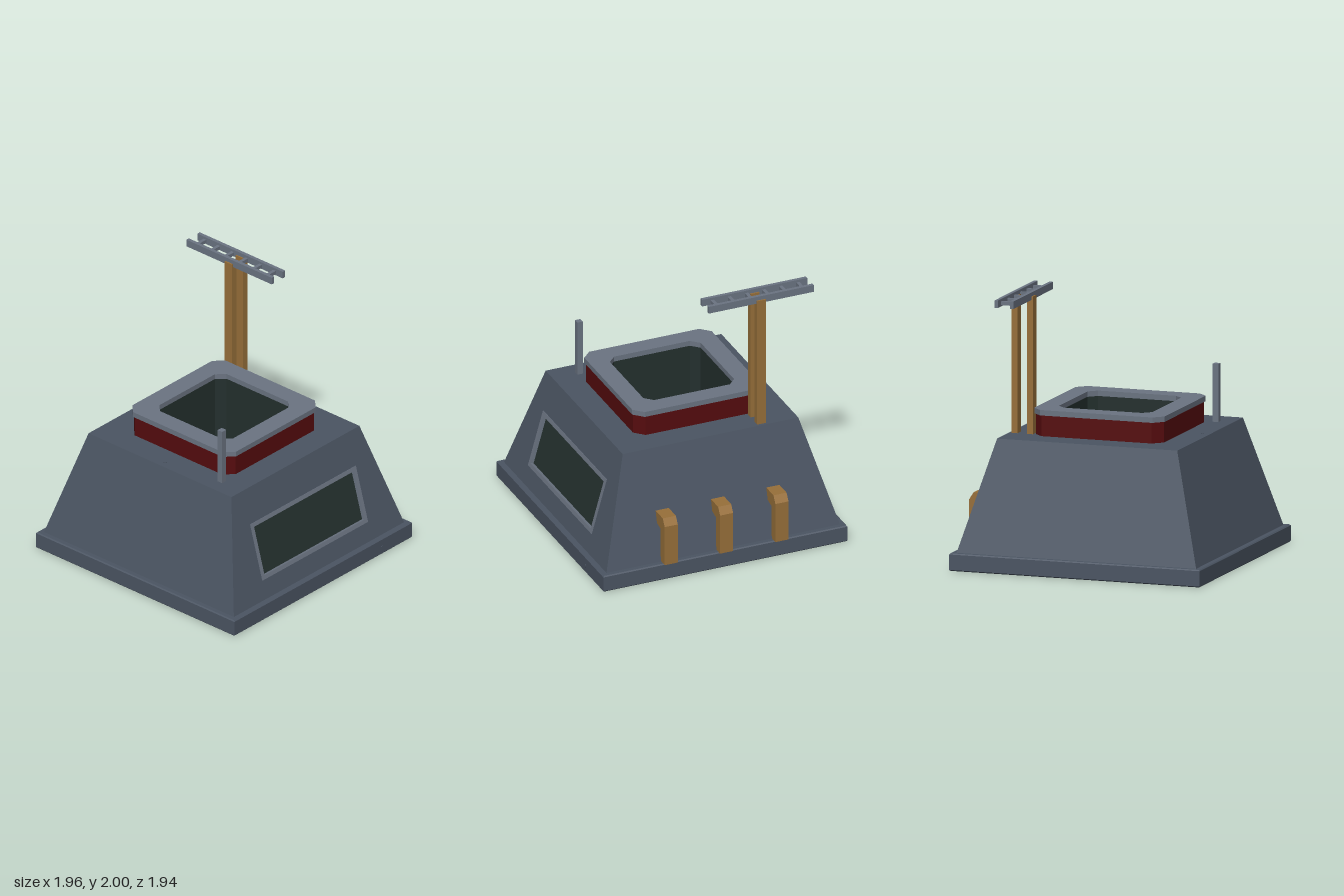
import * as THREE from 'three';

const paint = (name, color, side = THREE.FrontSide) => {
  const m = new THREE.MeshStandardMaterial({ color, side });
  m.name = name;
  return m;
};

// Closed path of a rectangle with optional chamfered corners
function octagon(hx, hy, c, PathClass = THREE.Shape) {
  const pts = [
    [hx - c, -hy], [hx, -hy + c], [hx, hy - c], [hx - c, hy],
    [-hx + c, hy], [-hx, hy - c], [-hx, -hy + c], [-hx + c, -hy],
  ].map(([x, y]) => new THREE.Vector2(x, y));
  return new PathClass(c > 0 ? pts : pts.filter((p, i) => i % 2 === 0));
}

function withHole(shape, hole) {
  shape.holes.push(hole);
  return shape;
}

// Horizontal slab of a shape between two heights
function slab(shape, y0, y1, bevel = 0) {
  const g = new THREE.ExtrudeGeometry(shape, {
    depth: y1 - y0 - 2 * bevel, bevelEnabled: bevel > 0,
    bevelSize: bevel, bevelThickness: bevel, bevelOffset: -bevel, bevelSegments: 1,
  });
  return g.rotateX(-Math.PI / 2).translate(0, y0 + bevel, 0);
}

export function createModel() {
  const slate = paint('slate', 0x4b5563);
  const grey = paint('light grey', 0x6b7482);
  const red = paint('dark red', 0x560c0e);
  const brown = paint('brown', 0x98703a);
  const dark = paint('dark green', 0x24302e);

  const model = new THREE.Group();
  const core = new THREE.Group();
  core.name = 'building';
  core.position.x = -0.01;
  model.add(core);

  const add = (parent, name, geometry, material) => {
    const mesh = new THREE.Mesh(geometry, material);
    mesh.name = name;
    parent.add(mesh);
    return mesh;
  };
  const box = (name, material, x0, x1, y0, y1, z0, z1) => add(model, name,
    new THREE.BoxGeometry(x1 - x0, y1 - y0, z1 - z0)
      .translate((x0 + x1) / 2, (y0 + y1) / 2, (z0 + z1) / 2), material);

  // Square plinth, open in the middle for the shaft
  const shaftHole = () => octagon(0.372, 0.37, 0.064, THREE.Path);
  add(core, 'base', slab(withHole(octagon(0.97, 0.97, 0), shaftHole()), 0, 0.13, 0.008), slate);

  // Sloping walls; the front one has the window opening
  const low = 0.928, high = 0.698, rise = 0.82, y0 = 0.13, top = y0 + rise;
  const tilt = Math.atan((low - high) / rise);
  const length = Math.hypot(rise, low - high);
  const along = (y) => (y - y0) / Math.cos(tilt);
  const winMid = along(0.4825);
  const rect = (hx, hs, PathClass = THREE.Shape) => new PathClass(
    [[-hx, -hs], [hx, -hs], [hx, hs], [-hx, hs]].map(([x, s]) => new THREE.Vector2(x, winMid + s)));
  const onSlope = (g) => g.rotateX(-tilt).translate(0, y0, low);

  ['frontWall', 'leftWall', 'backWall', 'rightWall'].forEach((name, i) => {
    const wall = new THREE.Shape([[-low, 0], [low, 0], [high, length], [-high, length]]
      .map(([x, y]) => new THREE.Vector2(x, y)));
    if (i === 0) wall.holes.push(rect(0.56, 0.205, THREE.Path));
    add(core, name, onSlope(new THREE.ShapeGeometry(wall)).rotateY(i * Math.PI / 2), slate);
  });
  add(core, 'roof', slab(withHole(octagon(high, high, 0), shaftHole()), top - 0.002, top), slate);

  // Window: raised frame with recessed glass
  const frame = withHole(rect(0.575, 0.221), rect(0.545, 0.19, THREE.Path));
  add(core, 'windowFrame', onSlope(new THREE.ExtrudeGeometry(frame,
    { depth: 0.03, bevelEnabled: false }).translate(0, 0, -0.025)), grey);
  add(core, 'windowGlass', onSlope(new THREE.ShapeGeometry(rect(0.55, 0.195))
    .translate(0, 0, -0.02)), dark);

  // Chimney collar, rim and dark shaft
  add(core, 'collar', slab(withHole(octagon(0.497, 0.497, 0.07), shaftHole()), top, 1.105), red);
  add(core, 'rim', slab(withHole(octagon(0.505, 0.507, 0.07),
    octagon(0.3625, 0.361, 0.06, THREE.Path)), 1.105, 1.145), grey);
  add(core, 'shaftLining', slab(withHole(octagon(0.372, 0.37, 0.064),
    octagon(0.3625, 0.361, 0.06, THREE.Path)), 0, 1.105), dark);
  add(core, 'shaftFloor', slab(octagon(0.368, 0.366, 0.062), 0, 0.008), dark);

  // Three bent pipes on the left side
  const pipe = new THREE.Shape([[0.79, 0.5], [0.79, 0.42], [0.835, 0.412], [0.905, 0.395],
    [0.905, 0.13], [0.98, 0.13], [0.98, 0.445], [0.945, 0.5]]
    .map(([x, y]) => new THREE.Vector2(x, y)));
  for (const z of [-0.44, 0, 0.44]) {
    add(model, 'sidePipe', new THREE.ExtrudeGeometry(pipe,
      { depth: 0.104, bevelEnabled: false }).translate(0, 0, z - 0.052), brown);
  }

  // Twin masts carrying a ladder-shaped aerial
  for (const x of [0.5, 0.62]) box('mast', brown, x, x + 0.048, top, 1.97, -0.45, -0.38);
  for (const x of [0.511, 0.63]) box('aerialRail', grey, x, x + 0.027, 1.945, 2, -0.835, 0);
  for (let i = 0; i < 6; i++) {
    const z = -0.76 + i * 0.136;
    box('aerialRung', grey, 0.535, 0.633, 1.955, 1.982, z - 0.013, z + 0.013);
  }

  // Small post and two studs
  box('post', grey, -0.602, -0.558, top, 1.38, 0.468, 0.512);
  add(model, 'roofStud', new THREE.CylinderGeometry(0.012, 0.012, 0.006, 12)
    .translate(-0.65, top + 0.001, 0), slate);
  add(model, 'baseStud', new THREE.CylinderGeometry(0.012, 0.012, 0.006, 12)
    .rotateX(Math.PI / 2).translate(0.635, 0.06, 0.97), slate);

  return model;
}
